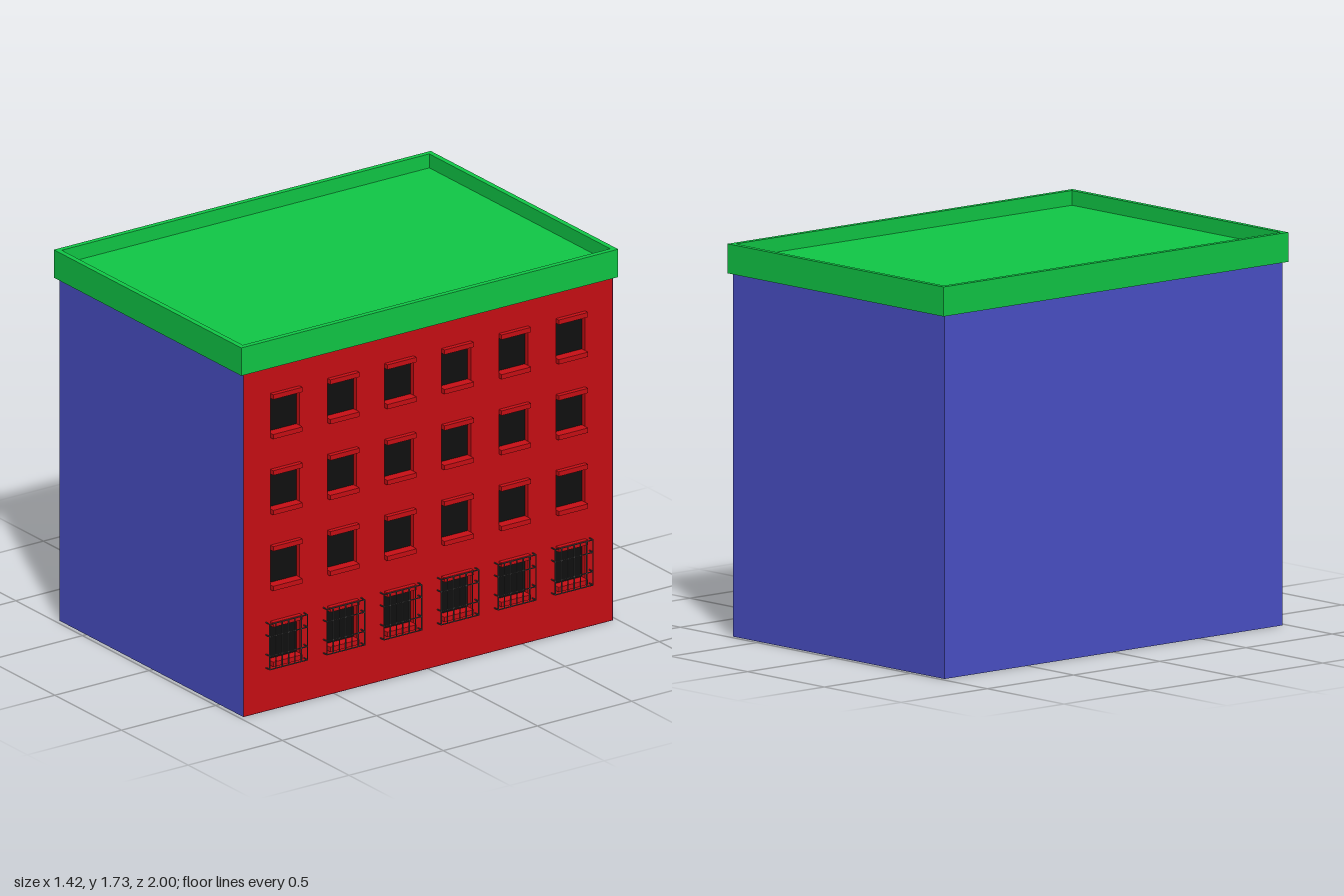
import * as THREE from 'three';

const mat = (color, side = THREE.FrontSide) => new THREE.MeshStandardMaterial({ color, side });
const BLUE = mat(0x4a50c8, THREE.DoubleSide), RED = mat(0xc80e14), GREEN = mat(0x10c846);
const PURPLE = mat(0x800a70, THREE.DoubleSide), BLACK = mat(0x101010), IRON = mat(0x444444);

// Box given by its minimum and maximum corners
function box(parent, name, material, [x0, y0, z0], [x1, y1, z1]) {
  const mesh = new THREE.Mesh(new THREE.BoxGeometry(x1 - x0, y1 - y0, z1 - z0), material);
  mesh.position.set((x0 + x1) / 2, (y0 + y1) / 2, (z0 + z1) / 2);
  mesh.name = name;
  parent.add(mesh);
  return mesh;
}

function panel(parent, name, material, w, h, pos, rot) {
  const mesh = new THREE.Mesh(new THREE.PlaneGeometry(w, h), material);
  mesh.position.set(...pos);
  mesh.rotation.set(...rot);
  mesh.name = name;
  parent.add(mesh);
}

function rectPath(path, x0, y0, x1, y1) {
  path.moveTo(x0, y0).lineTo(x1, y0).lineTo(x1, y1).lineTo(x0, y1).closePath();
  return path;
}

export function createModel() {
  const model = new THREE.Group();
  model.name = 'building';
  const L = -0.70, R = 0.68, H = 1.6, D = 0.98, recess = 0.025;
  const midX = (L + R) / 2, W = R - L;
  const half = 0.0775, paneH = 0.163;
  const columns = [0, 1, 2, 3, 4, 5].map(i => 0.76 - i * 0.303);
  const rows = [0, 1, 2, 3].map(i => 0.23 + i * 0.354);

  // Plain walls and underside
  panel(model, 'frontWall', BLUE, W, H, [midX, H / 2, D], [0, 0, 0]);
  panel(model, 'backWall', BLUE, W, H, [midX, H / 2, -D], [0, Math.PI, 0]);
  panel(model, 'sideWall', BLUE, 2 * D, H, [L, H / 2, 0], [0, -Math.PI / 2, 0]);
  panel(model, 'underside', PURPLE, W, 2 * D, [midX, 0, 0], [Math.PI / 2, 0, 0]);

  // Windowed wall, drawn with shape x = -z so that it faces +x
  const e = D - 0.001;
  const shape = rectPath(new THREE.Shape(), -e, 0.001, e, H);
  for (const y of rows) for (const z of columns)
    shape.holes.push(rectPath(new THREE.Path(), -z - half, y, -z + half, y + paneH));
  const facade = new THREE.Mesh(
    new THREE.ExtrudeGeometry(shape, { depth: recess, bevelEnabled: false }), RED);
  facade.rotation.y = Math.PI / 2;
  facade.position.x = R - recess;
  facade.name = 'windowWall';
  model.add(facade);

  // Window panes, lintels and sills
  rows.forEach((y, row) => {
    for (const z of columns) {
      const win = new THREE.Group();
      win.name = 'window';
      model.add(win);
      const a = z - half, b = z + half, top = y + paneH;
      box(win, 'pane', BLACK, [R - recess - 0.01, y - 0.005, a - 0.005], [R - recess + 0.001, top + 0.005, b + 0.005]);
      box(win, 'lintel', RED, [R - 0.002, top, a], [R + 0.022, top + 0.022, b]);
      box(win, 'sill', RED, [R - 0.002, y - 0.022, a], [R + 0.022, y, b]);
      if (row === 0) addGrille(win, z, R);
    }
  });

  // Roof slab and parapet
  const x0 = -0.715, x1 = 0.692, t = 0.025, y1 = 1.73, floor = 1.665;
  box(model, 'roofSlab', GREEN, [x0, H, -1], [x1, floor, 1]);
  box(model, 'parapet', GREEN, [x0, floor, -1], [x0 + t, y1, 1]);
  box(model, 'parapet', GREEN, [x1 - t, floor, -1], [x1, y1, 1]);
  for (const s of [-1, 1])
    box(model, 'parapet', GREEN, [x0 + t, floor, Math.min(s, s * (1 - t))],
      [x1 - t, y1, Math.max(s, s * (1 - t))]);
  return model;
}

// Iron grille standing off the wall in front of a ground floor window
function addGrille(parent, z, wallX) {
  const grille = new THREE.Group();
  grille.name = 'grille';
  parent.add(grille);
  const r = 0.002, x = wallX + 0.028, w = 0.1;
  for (let i = -3; i <= 3; i++) {
    const bz = z + i * w / 3;
    box(grille, 'verticalBar', IRON, [x - r, 0.2, bz - r], [x + r, 0.415, bz + r]);
  }
  for (const y of [0.202, 0.265, 0.355, 0.413]) {
    box(grille, 'rail', IRON, [x - r, y - r, z - w - r], [x + r, y + r, z + w + r]);
    for (const s of [-1, 1])
      box(grille, 'bracket', IRON, [wallX, y - r, z + s * w - r], [x, y + r, z + s * w + r]);
  }
}
